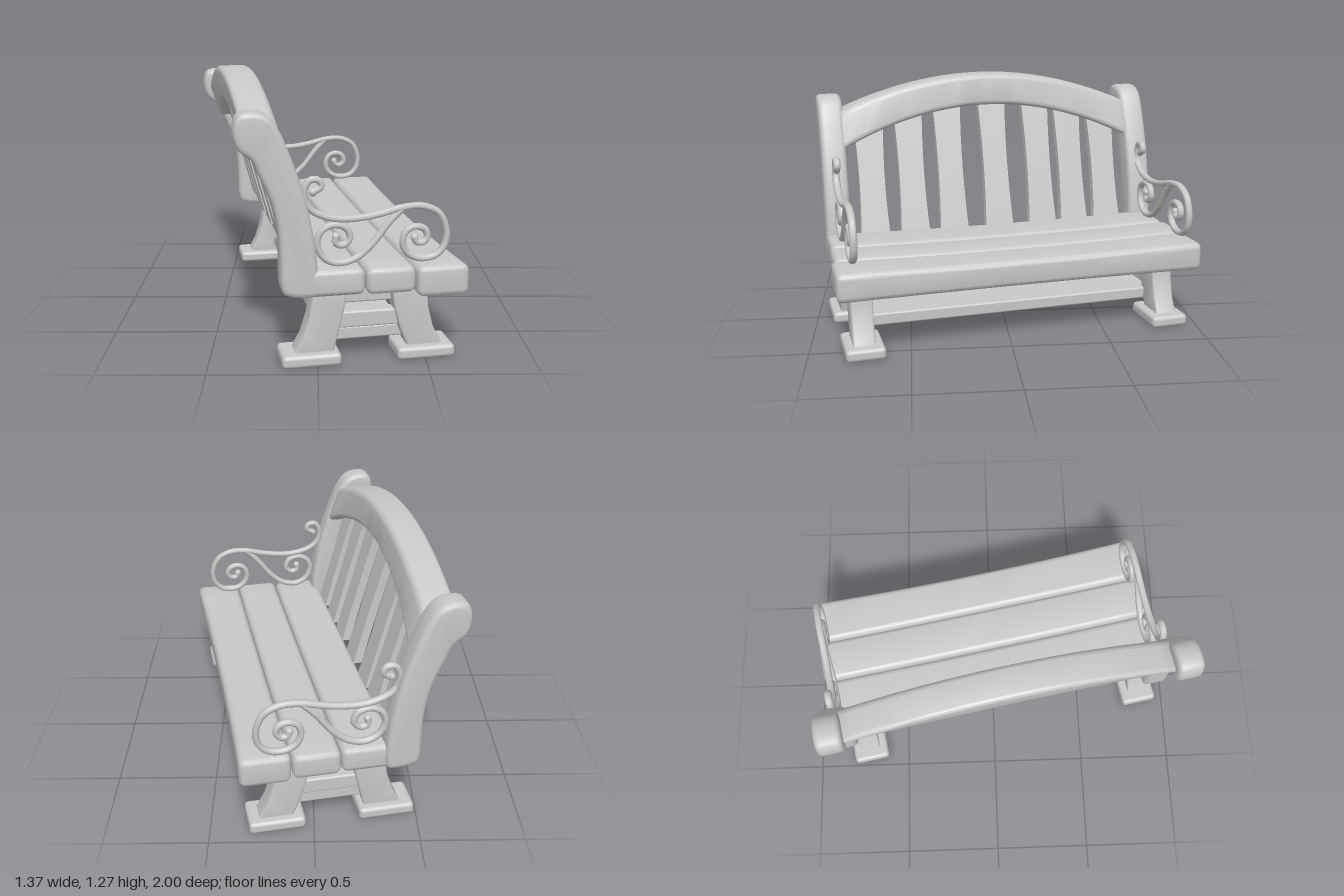
import * as THREE from 'three';
import { toCreasedNormals } from 'three/addons/utils/BufferGeometryUtils.js';
import { RoundedBoxGeometry } from 'three/addons/geometries/RoundedBoxGeometry.js';

// Local frame: x = depth (front is +x), z = length of the bench.
export function createModel() {
  const grey = new THREE.MeshStandardMaterial({ color: 0xc8c8c8 });
  grey.name = 'plain grey';
  const model = new THREE.Group();
  model.name = 'gardenBench';
  const bench = new THREE.Group();
  bench.name = 'bench';
  bench.rotation.y = 0.188;
  bench.position.set(0.008, 0, 0.002);
  model.add(bench);

  const add = (name, geometry, x = 0, y = 0, z = 0) => {
    const mesh = new THREE.Mesh(geometry, grey);
    mesh.name = name;
    mesh.position.set(x, y, z);
    bench.add(mesh);
    return mesh;
  };

  // Rounded board given by its limits
  const board = (name, x0, x1, y0, y1, z0, z1, r = 0.02) =>
    add(name, new RoundedBoxGeometry(x1 - x0, y1 - y0, z1 - z0, 3, r),
      (x0 + x1) / 2, (y0 + y1) / 2, (z0 + z1) / 2);

  // Side profile (x, y) extruded along z with soft edges, centred on z = 0
  const slab = (points, width, bevel, steps = 1) => {
    const g = new THREE.ExtrudeGeometry(new THREE.Shape(points), {
      depth: width - 2 * bevel, steps, bevelEnabled: true, bevelSize: bevel,
      bevelThickness: bevel, bevelOffset: -bevel, bevelSegments: 3,
    });
    g.translate(0, 0, bevel - width / 2);
    return g;
  };
  const vec2 = (list) => list.map(([x, y]) => new THREE.Vector2(x, y));
  const vec3 = (list) => list.map(([x, y]) => new THREE.Vector3(x, y, 0));

  // Rounded rectangle with half sizes w, h and corner radius r
  const roundedSection = (w, h, r) => new THREE.Shape()
    .absarc(w - r, h - r, r, 0, Math.PI / 2)
    .absarc(r - w, h - r, r, Math.PI / 2, Math.PI)
    .absarc(r - w, r - h, r, Math.PI, Math.PI * 1.5)
    .absarc(w - r, r - h, r, Math.PI * 1.5, Math.PI * 2)
    .getPoints(4);

  // Moves every vertex by a rule
  const warp = (g, rule) => {
    const p = g.attributes.position;
    const v = new THREE.Vector3();
    for (let i = 0; i < p.count; i++) {
      rule(v.fromBufferAttribute(p, i));
      p.setXYZ(i, v.x, v.y, v.z);
    }
    return toCreasedNormals(g, 0.7);
  };

  // Seat planks, worn down slightly in the middle; wear = loss at the front edge
  const plank = (name, x0, x1, y0, z0, z1, wear) => {
    const y1 = 0.46, half = (z1 - z0) / 2;
    const section = roundedSection((x1 - x0) / 2, (y1 - y0) / 2, 0.032);
    add(name, warp(slab(section, z1 - z0, 0.025, 12), (v) => {
      const sag = 1 - (v.z / half) ** 2;
      if (v.y > 0) v.y -= 0.012 * sag;
      if (v.x > 0) v.x -= wear * sag;
    }), (x0 + x1) / 2, (y0 + y1) / 2, (z0 + z1) / 2);
  };
  plank('frontSeatPlank', 0.273, 0.515, 0.315, -0.925, 0.945, 0.016);
  plank('middleSeatPlank', 0.042, 0.268, 0.335, -0.937, 0.925, 0);
  plank('rearSeatPlank', -0.222, 0.036, 0.335, -0.93, 0.915, 0);

  // Back posts with a rolled top
  const postOutline = new THREE.CatmullRomCurve3(vec3([
    [-0.325, 0.35], [-0.342, 0.38], [-0.346, 0.5], [-0.355, 0.65], [-0.385, 0.78],
    [-0.437, 0.9], [-0.467, 0.965], [-0.523, 1.01], [-0.543, 1.09], [-0.517, 1.165],
    [-0.425, 1.167], [-0.37, 1.13], [-0.287, 0.95], [-0.225, 0.75], [-0.188, 0.55],
    [-0.178, 0.42], [-0.183, 0.35], [-0.2, 0.335],
  ]), true, 'centripetal').getPoints(54).slice(0, -1).reverse();
  const postGeometry = toCreasedNormals(slab(vec2(postOutline.map((p) => [p.x, p.y])), 0.13, 0.025), 0.7);
  add('leftBackPost', postGeometry, 0, 0, 0.85);
  add('rightBackPost', postGeometry, 0.01, 0, -0.886);

  // Arched top rail, tilting with the posts towards its ends
  const middle = -0.02;
  const railSection = roundedSection(0.083, 0.085, 0.03);
  add('archedTopRail', warp(slab(railSection, 1.64, 0.01, 28), (v) => {
    const z2 = v.z * v.z;
    v.x += -0.42 + 0.045 * z2 - (0.12 + 0.4 * z2) * v.y;
    v.y = v.y * (1 + 0.25 * z2) + 1.185 - 0.285 * z2;
  }), 0, 0, middle);

  // Leaning back slats, slightly waisted
  for (const z of [0.65, 0.43, 0.21, -0.05, -0.305, -0.495, -0.695]) {
    const bottom = 0.435;
    const top = 1.13 - 0.3 * (z - middle) ** 2;
    const g = new THREE.BoxGeometry(0.045, top - bottom, 0.158, 1, 12, 1);
    add('backSlat', warp(g, (v) => {
      const t = v.y / (top - bottom);
      v.y += (top + bottom) / 2;
      v.x -= 0.24 + 0.27 * (v.y - 0.45);
      v.z *= 0.87 + 0.52 * t * t;
    }), 0, 0, z);
  }

  // Splayed legs on flat feet
  const rearLeg = toCreasedNormals(slab(vec2([
    [-0.285, 0.045], [-0.1, 0.045], [-0.07, 0.16], [-0.05, 0.25], [-0.035, 0.35],
    [-0.195, 0.35], [-0.21, 0.23], [-0.24, 0.13],
  ]), 0.11, 0.012), 0.6);
  const frontLeg = toCreasedNormals(slab(vec2([
    [0.255, 0.045], [0.425, 0.045], [0.375, 0.14], [0.35, 0.24], [0.34, 0.35],
    [0.17, 0.35], [0.185, 0.25], [0.215, 0.14],
  ]), 0.11, 0.012), 0.6);
  for (const z of [0.812, -0.785]) {
    add('rearLeg', rearLeg, 0, 0, z);
    add('frontLeg', frontLeg, 0, 0, z);
    board('rearFoot', -0.342, -0.068, 0, 0.06, z - 0.097, z + 0.097);
    board('frontFoot', 0.197, 0.471, 0, 0.06, z - 0.097, z + 0.097);
    board('endCrosspiece', -0.17, 0.27, 0.157, 0.235, z - 0.035, z + 0.035, 0.01);
  }

  // Long boards between the two leg pairs
  board('lowerStretcher', -0.135, 0.245, 0.09, 0.152, -0.8, 0.82, 0.01);
  board('underSeatBoard', -0.125, 0.24, 0.268, 0.34, -0.8, 0.82, 0.01);

  // Scrolled metal armrests
  const armPath = [
    [-0.18, 0.806], [-0.143, 0.83], [-0.154, 0.858], [-0.192, 0.861], [-0.216, 0.828],
    [-0.218, 0.773], [-0.192, 0.729], [-0.136, 0.696], [-0.061, 0.678], [0.032, 0.678],
    [0.125, 0.692], [0.237, 0.718], [0.33, 0.718], [0.405, 0.679], [0.44, 0.597],
    [0.43, 0.526], [0.386, 0.482], [0.312, 0.474], [0.256, 0.503], [0.234, 0.553],
    [0.249, 0.604], [0.293, 0.625], [0.338, 0.609], [0.349, 0.575], [0.33, 0.549],
    [0.298, 0.552], [0.288, 0.575],
  ];
  const bracePath = [
    [0.23, 0.714], [0.163, 0.645], [0.088, 0.55], [0.013, 0.49], [-0.072, 0.474],
    [-0.136, 0.507], [-0.162, 0.571], [-0.143, 0.625], [-0.087, 0.652], [-0.03, 0.634],
    [-0.012, 0.586], [-0.042, 0.556], [-0.078, 0.568], [-0.076, 0.598],
  ];
  const tube = (path, segments) =>
    new THREE.TubeGeometry(new THREE.CatmullRomCurve3(vec3(path)), segments, 0.016, 8).scale(1, 1, 1.2);
  const ball = new THREE.SphereGeometry(0.019, 10, 8);
  const arm = tube(armPath, 130);
  const brace = tube(bracePath, 80);
  const armX = -0.012;
  for (const z of [0.85, -0.885]) {
    add('armrestScroll', arm, armX, 0, z);
    add('armrestBrace', brace, armX, 0, z);
    for (const [x, y] of [armPath[0], armPath.at(-1), bracePath.at(-1)]) {
      add('scrollTip', ball, x + armX, y, z);
    }
  }

  return model;
}
